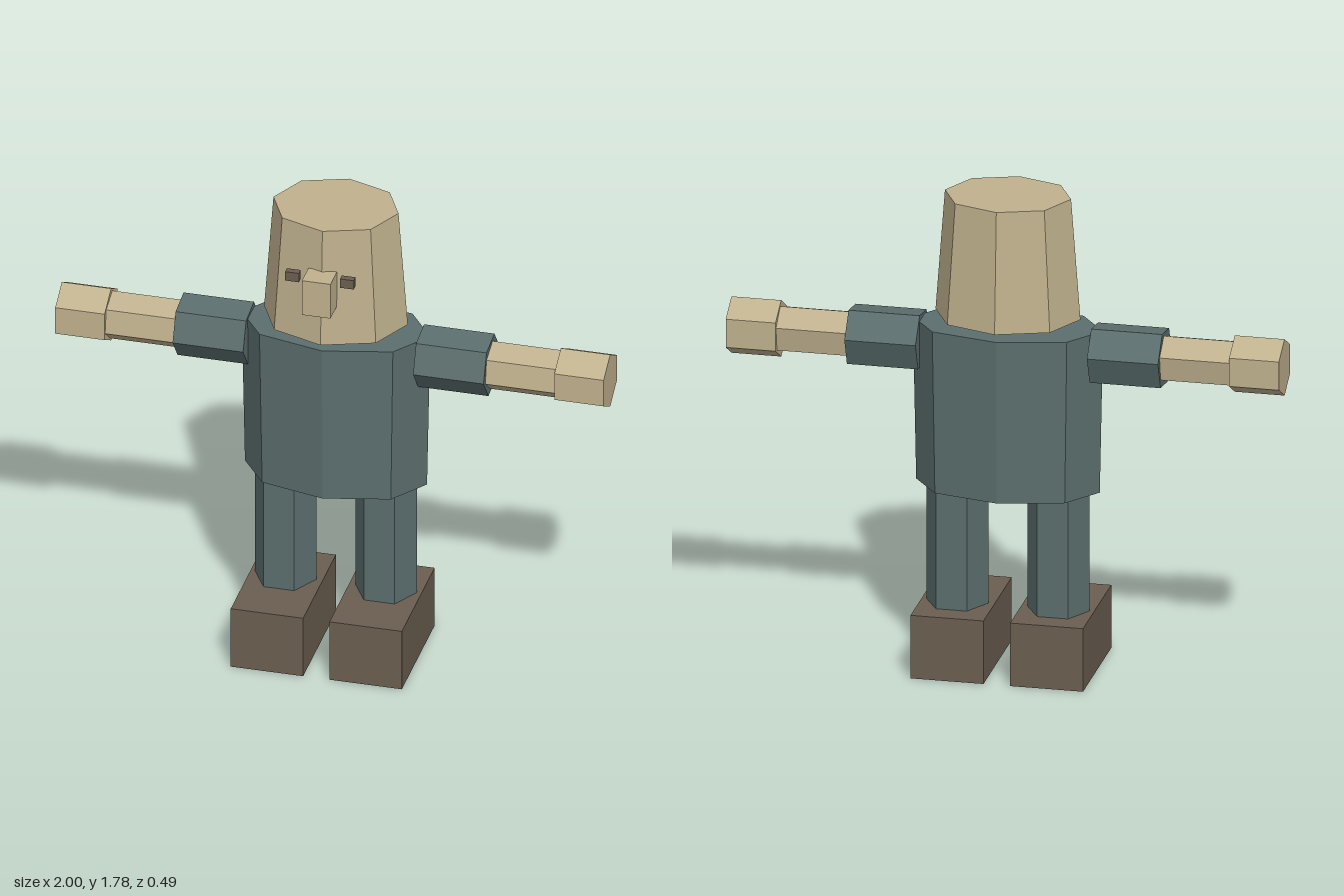
import * as THREE from 'three';

const flat = (name, color) => {
  const m = new THREE.MeshStandardMaterial({ color, flatShading: true });
  m.name = name;
  return m;
};

const BODY_Z = -0.028; // the body sits slightly behind the toes
const ARM_Y = 1.21;

export function createModel() {
  const skin = flat('skin', 0xc0b18e);
  const cloth = flat('cloth', 0x5b6e6d);
  const leather = flat('leather', 0x6a5e50);
  const model = new THREE.Group();
  model.name = 'blockyFigure';

  const add = (name, geometry, material, x, y, z) => {
    const mesh = new THREE.Mesh(geometry, material);
    mesh.name = name;
    mesh.position.set(x, y, z);
    model.add(mesh);
  };

  // Upright faceted column between two heights, flattened in depth
  const column = (name, material, x, y0, y1, rBottom, rTop, sides, depth = 1, start = 0) => {
    const g = new THREE.CylinderGeometry(rTop, rBottom, y1 - y0, sides, 1, false, start);
    g.scale(1, 1, depth);
    add(name, g, material, x, (y0 + y1) / 2, BODY_Z);
  };

  // Six-sided arm piece along x, rolled so one corner is 'roll' degrees above the front
  const armPiece = (name, material, side, x0, x1, r, roll) => {
    const start = -THREE.MathUtils.degToRad(roll);
    const g = new THREE.CylinderGeometry(r, r, x1 - x0, 6, 1, false, start);
    g.rotateZ(-Math.PI / 2);
    add(name, g, material, side * (x0 + x1) / 2, ARM_Y, BODY_Z);
  };

  // Trunk and head
  column('torso', cloth, 0, 0.685, 1.293, 0.332, 0.344, 8, 0.565);
  column('neck', skin, 0, 1.28, 1.34, 0.095, 0.095, 8);
  column('head', skin, 0, 1.33, 1.78, 0.262, 0.228, 8, 0.83);
  add('nose', new THREE.BoxGeometry(0.104, 0.14, 0.09), skin, 0, 1.55, 0.203);

  for (const side of [1, -1]) {
    const label = side > 0 ? 'left' : 'right';

    // Eyes stand just clear of the face
    add(label + 'Eye', new THREE.BoxGeometry(0.05, 0.036, 0.025), leather, side * 0.1, 1.602, 0.19);

    // Arms
    armPiece(label + 'UpperArm', cloth, side, 0.31, 0.567, 0.112, -8);
    armPiece(label + 'Forearm', skin, side, 0.56, 0.825, 0.09, -20);
    armPiece(label + 'Hand', skin, side, 0.82, 1, 0.106, 30);

    // Legs and shoes
    column(label + 'Leg', cloth, side * 0.183, 0.23, 0.69, 0.112, 0.112, 6, 1, Math.PI / 2);
    add(label + 'Shoe', new THREE.BoxGeometry(0.264, 0.237, 0.457), leather, side * 0.18, 0.1185, 0.0185);
  }
  return model;
}
